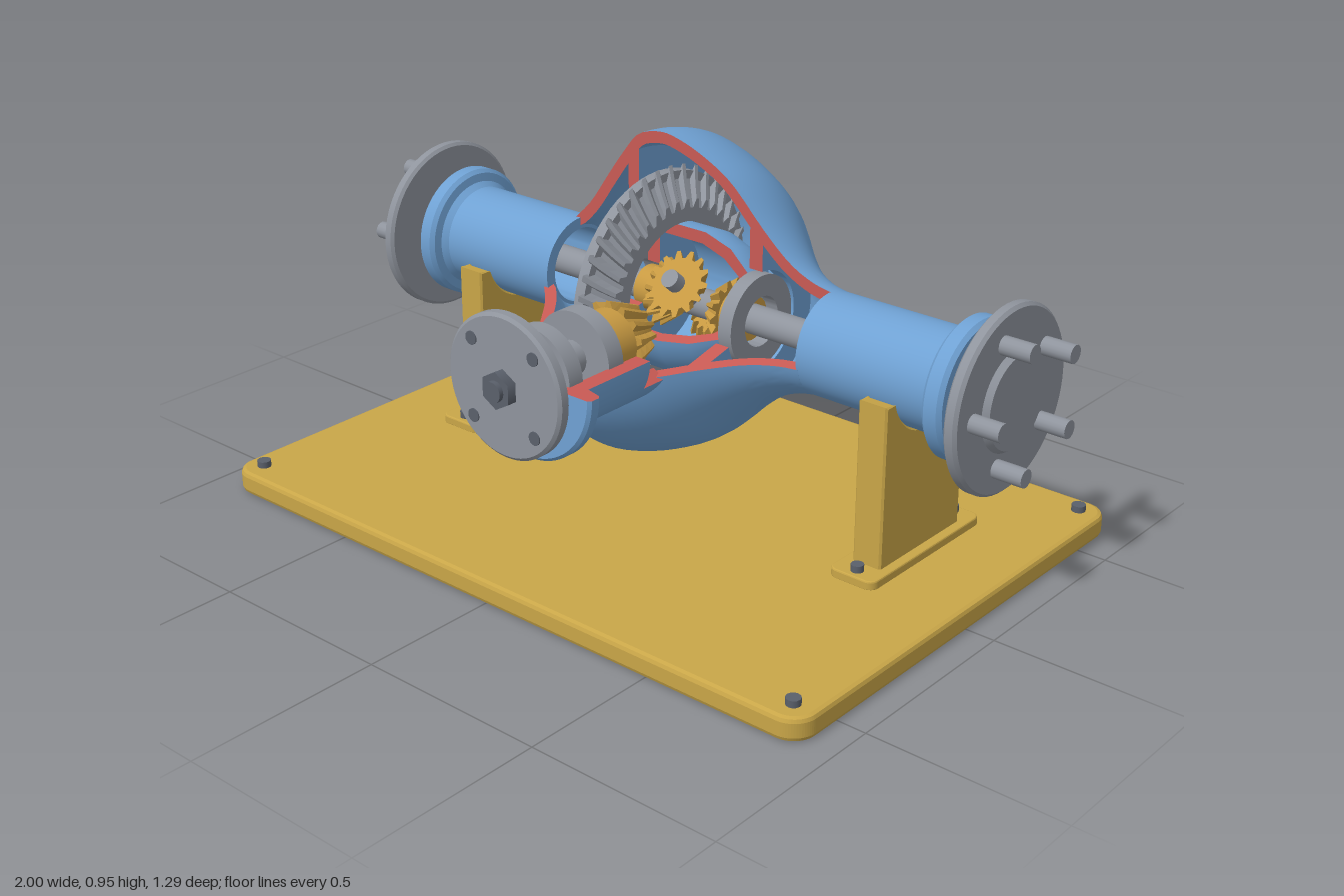
import * as THREE from 'three';
import { toCreasedNormals } from 'three/addons/utils/BufferGeometryUtils.js';

const mat = (name, color, side = THREE.FrontSide) => {
  const m = new THREE.MeshStandardMaterial({ color, side });
  m.name = name;
  return m;
};
const V = (x, y) => new THREE.Vector2(x, y);
const PI = Math.PI;

export function createModel() {
  const blue = mat('housing blue', 0x6fa1d3);
  const red = mat('cut face red', 0xc95a54, THREE.DoubleSide);
  const steel = mat('steel', 0x8f949d);
  const dark = mat('dark bolt steel', 0x5a606b);
  const gold = mat('stand gold', 0xc9a648);
  const bronze = mat('gear bronze', 0xc89a42);

  const root = new THREE.Group();
  root.name = 'cutawayDifferential';

  const add = (parent, name, geo, material, x = 0, y = 0, z = 0) => {
    const m = new THREE.Mesh(geo, material);
    m.name = name;
    m.position.set(x, y, z);
    parent.add(m);
    return m;
  };
  const frame = (name, x, y, z, rx = 0, rz = 0) => {
    const g = new THREE.Group();
    g.name = name;
    g.position.set(x, y, z);
    g.rotation.set(rx, 0, rz);
    root.add(g);
    return g;
  };
  // Revolved part from [radius, height] points; partial turns get red cut faces
  const rev = (parent, name, pts, material, start = 0, len = 2 * PI, closed = true) => {
    const p = pts.map(([r, h]) => V(r, h));
    const loop = closed ? [...p, p[0].clone()] : p;
    add(parent, name, toCreasedNormals(new THREE.LatheGeometry(loop, 64, start, len), 0.6), material);
    if (len < 6.2) {
      for (const phi of [start, start + len]) {
        const cap = new THREE.ShapeGeometry(new THREE.Shape(p));
        cap.rotateY(phi - PI / 2);
        add(parent, name + 'CutFace', cap, red);
      }
    }
  };
  const ring = (parent, name, r0, r1, h0, h1, material) =>
    rev(parent, name, [[r0, h0], [r1, h0], [r1, h1], [r0, h1]], material);
  const rod = (parent, name, r, h0, h1, material, x = 0, z = 0, n = 24) =>
    add(parent, name, new THREE.CylinderGeometry(r, r, h1 - h0, n), material, x, (h0 + h1) / 2, z);

  // Bevel gear: toothed outline swept along +y, shrinking and twisting toward the tip
  const bevelGear = (parent, name, n, r, depth, height, tip, hole, material, twist = 0) => {
    const s = new THREE.Shape();
    for (let i = 0; i < n; i++) {
      [[0, r - depth], [0.2, r - depth], [0.42, r], [0.68, r], [0.9, r - depth]].forEach(([f, q]) => {
        const a = ((i + f) / n) * 2 * PI;
        if (i + f === 0) s.moveTo(q, 0);
        else s.lineTo(q * Math.cos(a), q * Math.sin(a));
      });
    }
    s.holes.push(new THREE.Path().absarc(0, 0, hole, 0, 2 * PI, true));
    const g = new THREE.ExtrudeGeometry(s, { depth: height, steps: 3, bevelEnabled: false, curveSegments: 24 });
    const p = g.attributes.position;
    for (let i = 0; i < p.count; i++) {
      const t = p.getZ(i) / height, k = 1 - t * (1 - tip), a = twist * t;
      const x = p.getX(i) * k, y = p.getY(i) * k;
      p.setXY(i, x * Math.cos(a) - y * Math.sin(a), x * Math.sin(a) + y * Math.cos(a));
    }
    g.computeVertexNormals();
    g.rotateX(-PI / 2);
    return add(parent, name, g, material);
  };
  // Flat plate with rounded corners and a bevelled rim, resting on y
  const plate = (parent, name, w, d, h, r, b, x, y, z) => {
    const a = w / 2 - b, c = d / 2 - b;
    const s = new THREE.Shape();
    s.absarc(a - r, c - r, r, 0, PI / 2);
    s.absarc(r - a, c - r, r, PI / 2, PI);
    s.absarc(r - a, r - c, r, PI, 1.5 * PI);
    s.absarc(a - r, r - c, r, 1.5 * PI, 2 * PI);
    const g = new THREE.ExtrudeGeometry(s, { depth: h - 2 * b, bevelSize: b, bevelThickness: b, bevelSegments: 2, curveSegments: 8 });
    g.rotateX(-PI / 2);
    add(parent, name, g, gold, x, y + b, z);
  };

  // Base and saddle stands
  plate(root, 'basePlate', 1.86, 1.29, 0.06, 0.05, 0.012, 0, 0, 0);
  for (const sx of [-1, 1]) {
    for (const sz of [-1, 1]) {
      rod(root, 'baseBolt', 0.018, 0.055, 0.077, dark, sx * 0.87, sz * 0.585, 12);
      rod(root, 'standBolt', 0.016, 0.075, 0.1, dark, sx * 0.655, -0.14 + sz * 0.2, 12);
    }
    plate(root, 'standFoot', 0.13, 0.46, 0.025, 0.02, 0.004, sx * 0.655, 0.057, -0.14);
    const s = new THREE.Shape([V(-0.16, 0.08), V(0.16, 0.08), V(0.16, 0.495), V(0.126, 0.495)]);
    s.absarc(0, 0.53, 0.135, -0.26, -PI + 0.26, true);
    s.lineTo(-0.16, 0.495);
    const g = new THREE.ExtrudeGeometry(s, { depth: 0.07, bevelSize: 0.005, bevelThickness: 0.005, bevelSegments: 1, curveSegments: 20 });
    g.translate(0, 0, -0.035);
    g.rotateY(-PI / 2);
    add(root, 'saddleStand', g, gold, sx * 0.655, 0, -0.14);
  }

  // Axle frame: local +y runs along world +x; the front upper sector is cut away
  const axle = frame('axleAssembly', 0, 0.53, -0.14, 0, -PI / 2);
  const cutStart = 0.225, cutLen = 1.5 * PI - cutStart;
  const bulge = new THREE.SplineCurve([[0.13, -0.42], [0.185, -0.365], [0.27, -0.305], [0.345, -0.25], [0.4, -0.2],
    [0.42, -0.13], [0.413, -0.07], [0.385, 0.01], [0.335, 0.1], [0.24, 0.2], [0.175, 0.28], [0.142, 0.35], [0.13, 0.41]]
    .map(([r, h]) => V(r, h)));
  const outer = [], inner = [];
  for (let i = 0; i <= 40; i++) {
    const p = bulge.getPoint(i / 40), t = bulge.getTangent(i / 40);
    outer.push([p.x, p.y]);
    const end = i === 0 || i === 40;
    inner.unshift(end ? [0.1, p.y] : [Math.max(0.1, p.x - 0.03 * t.y), p.y + 0.03 * t.x]);
  }
  rev(axle, 'centreHousing', [...outer, ...inner], blue, cutStart, cutLen);
  rev(axle, 'leftBearingWeb', [[0.13, 0.16], [0.262, 0.16], [0.222, 0.2], [0.13, 0.2]], blue, cutStart, cutLen);
  rev(axle, 'rightBearingWeb', [[0.13, -0.235], [0.345, -0.235], [0.378, -0.2], [0.13, -0.2]], blue, cutStart, cutLen);

  // Differential case, ring gear and bearings
  rev(axle, 'differentialCase', [[0.07, -0.17], [0.23, -0.17], [0.23, -0.14], [0.19, -0.135], [0.19, 0.02], [0.165, 0.1],
    [0.115, 0.155], [0.07, 0.158], [0.07, 0.135], [0.1, 0.125], [0.135, 0.08], [0.158, 0.01], [0.158, -0.13], [0.07, -0.13]],
  blue, cutStart, cutLen);
  ring(axle, 'ringGearBody', 0.195, 0.315, -0.14, -0.11, steel);
  bevelGear(axle, 'ringGearTeeth', 40, 0.33, 0.03, 0.05, 0.76, 0.255, steel, 0.1).position.y = -0.115;
  rod(axle, 'axleShaft', 0.038, -0.88, 0.88, steel);
  ring(axle, 'leftBearing', 0.065, 0.12, 0.16, 0.2, steel);
  ring(axle, 'rightBearing', 0.065, 0.12, -0.235, -0.195, steel);

  // Side gears and spider gears
  for (const s of [-1, 1]) {
    const side = bevelGear(axle, 'sideGear', 14, 0.09, 0.02, 0.045, 0.62, 0.03, bronze);
    side.position.y = s * 0.11;
    side.rotation.x = s > 0 ? PI : 0;
    rod(axle, 'sideGearHub', 0.058, s > 0 ? 0.1 : -0.17, s > 0 ? 0.17 : -0.1, bronze);
  }
  const cross = frame('spiderGears', 0, 0.53, -0.14, 0.87);
  rod(cross, 'crossPin', 0.024, -0.15, 0.15, steel);
  for (const s of [-1, 1]) {
    const spider = bevelGear(cross, 'spiderGear', 14, 0.09, 0.02, 0.045, 0.62, 0.02, bronze);
    spider.position.y = s * 0.115;
    spider.rotation.x = s > 0 ? PI : 0;
  }

  // Axle tubes, wheel hubs and studs on both ends
  for (const s of [-1, 1]) {
    const end = frame(s > 0 ? 'leftAxleEnd' : 'rightAxleEnd', 0, 0.53, -0.14, 0, -s * PI / 2);
    rev(end, 'axleTube', [[0.1, 0.405], [0.13, 0.405], [0.13, 0.77], [0.143, 0.785], [0.165, 0.788], [0.175, 0.798],
      [0.175, 0.832], [0.165, 0.842], [0.1, 0.842]], blue);
    rev(end, 'wheelHub', [[0, 0.83], [0.115, 0.83], [0.115, 0.885], [0.222, 0.885], [0.23, 0.892], [0.23, 0.912],
      [0.222, 0.92], [0.125, 0.92], [0.115, 0.935], [0, 0.935]], steel, 0, 2 * PI, false);
    for (let i = 0; i < 5; i++) {
      const a = (i / 5) * 2 * PI;
      rod(end, 'wheelStud', 0.023, 0.91, 1, steel, 0.16 * Math.sin(a), 0.16 * Math.cos(a), 16);
    }
  }

  // Pinion frame: local +y runs along world +z; the upper half of the snout is cut away
  const pinion = frame('pinionAssembly', 0, 0.53, 0, PI / 2);
  rev(pinion, 'pinionSnout', [[0.11, 0.225], [0.155, 0.225], [0.155, 0.44], [0.197, 0.45], [0.205, 0.458], [0.205, 0.482],
    [0.197, 0.49], [0.11, 0.49]], blue, -PI / 2, PI);
  rev(pinion, 'snoutNeck', [[0.115, 0.15], [0.155, 0.15], [0.155, 0.23], [0.115, 0.23]], blue, -1.05, 2.1);
  const pg = bevelGear(pinion, 'pinionGear', 13, 0.1, 0.022, 0.09, 0.66, 0.03, bronze, 0.2);
  pg.position.y = 0.19;
  pg.rotation.x = PI;
  rod(pinion, 'pinionCollar', 0.083, 0.19, 0.265, bronze);
  rod(pinion, 'pinionShaft', 0.043, 0.095, 0.53, steel);
  ring(pinion, 'innerPinionBearing', 0.04, 0.115, 0.275, 0.325, steel);
  ring(pinion, 'outerPinionBearing', 0.04, 0.115, 0.415, 0.46, steel);
  rev(pinion, 'driveFlange', [[0, 0.5], [0.085, 0.5], [0.085, 0.525], [0.172, 0.525], [0.18, 0.532], [0.18, 0.553],
    [0.172, 0.56], [0, 0.56]], steel, 0, 2 * PI, false);
  for (const sx of [-1, 1]) {
    for (const sz of [-1, 1]) rod(pinion, 'flangeHole', 0.017, 0.555, 0.563, dark, sx * 0.098, sz * 0.098, 16);
  }
  rod(pinion, 'pinionNut', 0.047, 0.555, 0.585, dark, 0, 0, 6);
  rod(pinion, 'pinionThread', 0.026, 0.58, 0.597, dark);
  return root;
}
